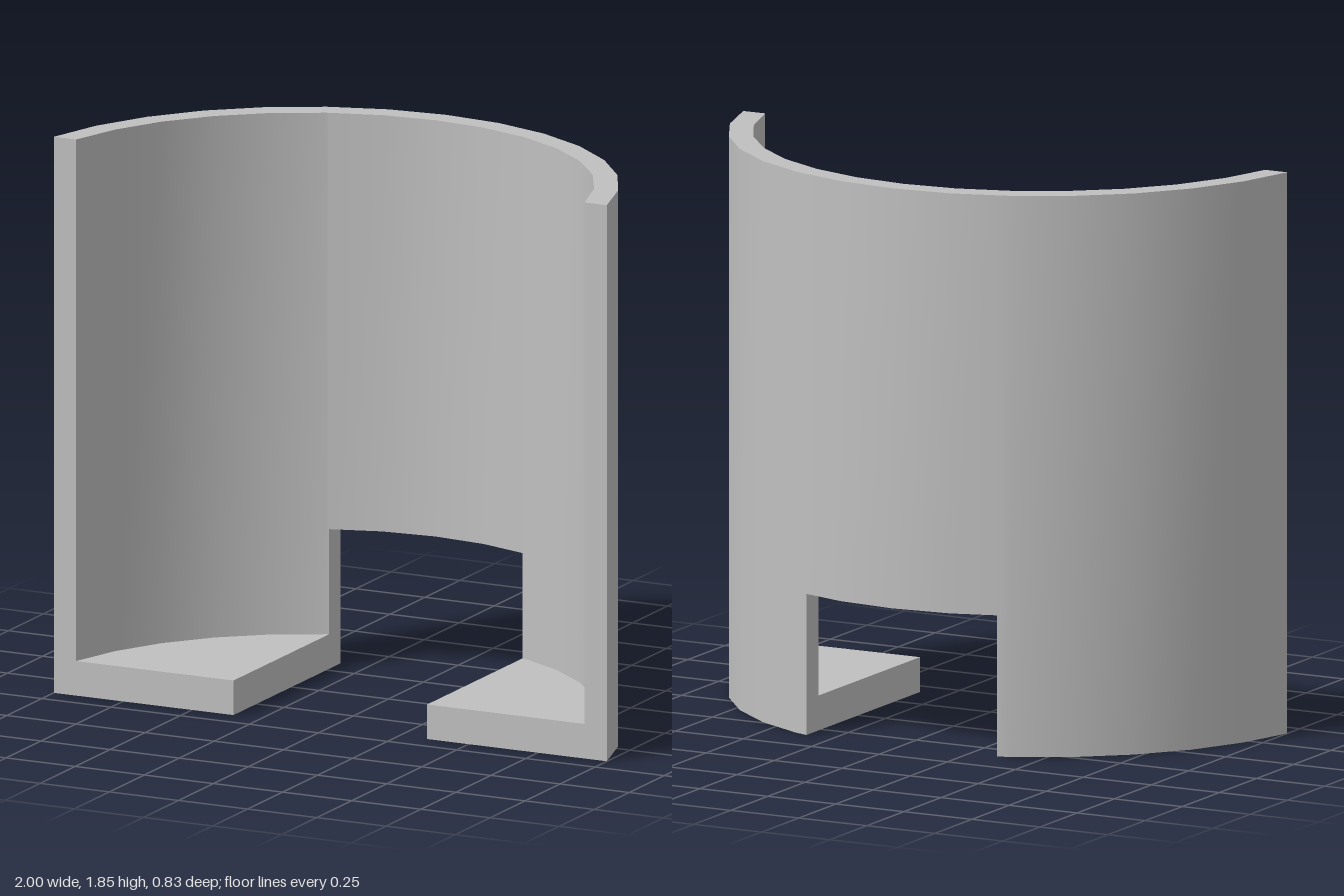
import * as THREE from 'three';
import { toCreasedNormals } from 'three/addons/utils/BufferGeometryUtils.js';

const HEIGHT = 1.85, FLOOR = 0.115, NOTCH_TOP = 0.465, NOTCH_X = 0.35;
const FRONT = 0.415, CENTER_Z = 0.602, SEGMENTS = 14;

// Plan outline [x, z] of an arc, with extra points where the doorway cuts it
function arc(radius) {
  const half = Math.acos((CENTER_Z - FRONT) / radius);
  const pts = [];
  for (let i = 0; i <= SEGMENTS; i++) {
    const a = half * (2 * i / SEGMENTS - 1);
    const p = [radius * Math.sin(a), CENTER_Z - radius * Math.cos(a)];
    const q = pts[pts.length - 1];
    for (const x of [-NOTCH_X, NOTCH_X]) {
      if (q && q[0] < x && p[0] > x) {
        pts.push([x, q[1] + (p[1] - q[1]) * (x - q[0]) / (p[0] - q[0])]);
      }
    }
    pts.push(p);
  }
  return pts;
}

// Collects vertical and horizontal faces
function builder() {
  const pos = [];
  const tri = (a, b, c) => pos.push(...a, ...b, ...c);
  return {
    // vertical face, seen with p on the left and q on the right
    upright(p, q, y0, y1) {
      const a = [p[0], y0, p[1]], b = [q[0], y0, q[1]];
      const c = [q[0], y1, q[1]], d = [p[0], y1, p[1]];
      tri(a, b, c);
      tri(a, c, d);
    },
    // horizontal fan, counter-clockwise from above when facing up
    level(points, y, up) {
      const v = points.map(([x, z]) => [x, y, z]);
      if (!up) v.reverse();
      for (let i = 1; i < v.length - 1; i++) tri(v[0], v[i], v[i + 1]);
    },
    mesh(name, material) {
      const g = new THREE.BufferGeometry();
      g.setAttribute('position', new THREE.Float32BufferAttribute(pos, 3));
      const m = new THREE.Mesh(toCreasedNormals(g, Math.PI / 6), material);
      m.name = name;
      return m;
    },
  };
}

export function createModel() {
  const group = new THREE.Group();
  group.name = 'curvedWallWithDoorway';
  const grey = new THREE.MeshStandardMaterial({ color: 0xc0c0c0 });
  grey.name = 'grey';

  const out = arc(1.017), inn = arc(0.938);
  const last = out.length - 1;
  const notch = [-1, 1].map((s) => inn.findIndex((p) => Math.abs(p[0] - s * NOTCH_X) < 1e-6));
  const [nl, nr] = notch;

  // Curved wall with the doorway cut through its foot
  const wall = builder();
  for (let k = 0; k < last; k++) {
    const open = k >= nl && k < nr;
    const foot = open ? NOTCH_TOP : 0;
    wall.upright(out[k + 1], out[k], foot, HEIGHT);
    wall.upright(inn[k], inn[k + 1], open ? NOTCH_TOP : FLOOR, HEIGHT);
    const rim = [inn[k], inn[k + 1], out[k + 1], out[k]];
    wall.level(rim, HEIGHT, true);
    wall.level(rim, foot, false);
  }
  // Front ends and doorway cheeks
  wall.upright(out[0], inn[0], 0, HEIGHT);
  wall.upright(inn[last], out[last], 0, HEIGHT);
  wall.upright(inn[nl], out[nl], 0, NOTCH_TOP);
  wall.upright(out[nr], inn[nr], 0, NOTCH_TOP);
  group.add(wall.mesh('curvedWall', grey));

  // Floor slabs on either side of the doorway
  for (const side of [-1, 1]) {
    const floor = builder();
    const corner = [side * NOTCH_X, FRONT];
    const edge = side > 0 ? inn.slice(nr) : inn.slice(0, nl + 1);
    for (let k = 0; k < edge.length - 1; k++) {
      const fan = [corner, edge[k + 1], edge[k]];
      floor.level(fan, FLOOR, true);
      floor.level(fan, 0, false);
    }
    const loop = [...edge].reverse();
    floor.upright(corner, loop[0], 0, FLOOR);
    floor.upright(loop[loop.length - 1], corner, 0, FLOOR);
    group.add(floor.mesh(side > 0 ? 'leftFloor' : 'rightFloor', grey));
  }
  return group;
}
